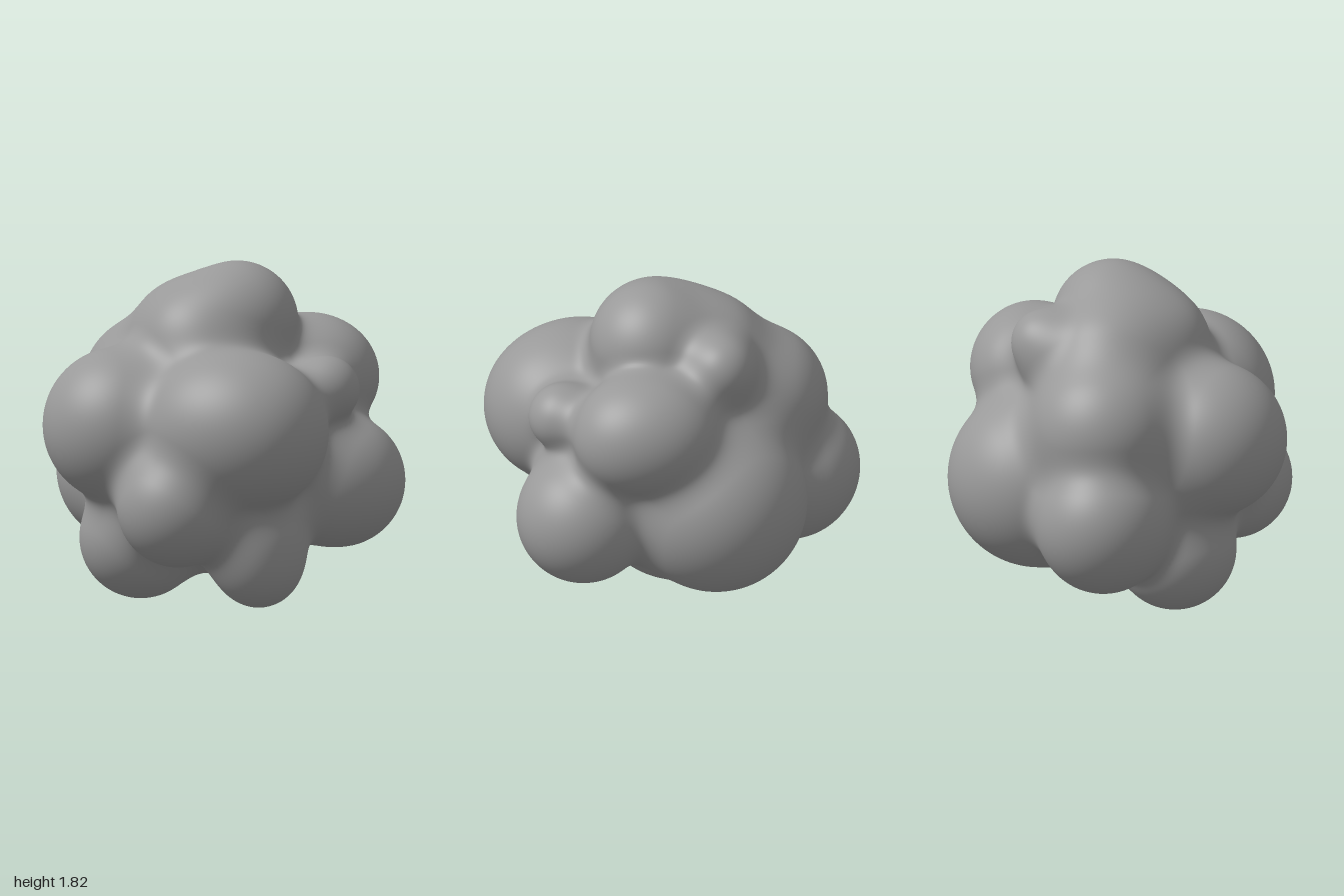
import * as THREE from 'three';
import { mergeVertices } from 'three/addons/utils/BufferGeometryUtils.js';

// Overlapping lobes that melt into one lump: x, y, z, radius
const LOBES = [
  [0, 0.84, 0, 0.67],          // core
  [0.15, 0.45, 0.02, 0.32],    // underside
  [-0.33, 0.99, 0.41, 0.4],    // large front, outer half
  [-0.25, 0.98, 0.57, 0.42],   // large front, inner half
  [0.08, 1.5, 0.13, 0.33],     // crown peak
  [-0.12, 1.39, 0.06, 0.34],   // crown shoulder
  [0.04, 1.35, -0.15, 0.37],   // crown back
  [0.4, 1.48, -0.2, 0.17],     // small knob beside the crown
  [0.31, 1.39, -0.2, 0.18],    // root of the small knob
  [0.54, 1.18, 0.14, 0.31],    // upper left side, back half
  [0.54, 1.18, 0.31, 0.31],    // upper left side, front half
  [0.25, 1.17, 0.64, 0.18],    // small front knob
  [0.43, 0.65, 0.55, 0.36],    // lower front
  [0.27, 0.68, 0.46, 0.32],    // lower front, inner part
  [0.43, 0.69, -0.17, 0.49],   // large left side
  [-0.5, 0.97, -0.17, 0.42],   // upper right side
  [-0.53, 0.58, 0.3, 0.33],    // lower right side
  [-0.12, 0.42, 0.45, 0.29],   // front foot
  [-0.12, 0.24, 0.5, 0.23],    // front foot tip
  [-0.32, 0.34, -0.2, 0.33],   // back foot
  [-0.01, 0.66, -0.67, 0.33],  // lower back
  [-0.01, 0.57, -0.62, 0.33],  // lower back, underside
  [0.02, 1.1, -0.44, 0.39],    // upper back
];
const BLEND = 0.13;

// Distance to the smoothly blended union of all lobes
function distance(p) {
  let d = Infinity;
  for (const [x, y, z, r] of LOBES) {
    const s = Math.hypot(p.x - x, p.y - y, p.z - z) - r;
    const h = Math.max(BLEND - Math.abs(d - s), 0) / BLEND;
    d = Math.min(d, s) - h * h * BLEND * 0.25;
  }
  return d;
}

// Shrink-wrap a fine sphere onto the lobes, marching each vertex inward
function lumpGeometry() {
  const base = new THREE.IcosahedronGeometry(1, 64);
  base.deleteAttribute('normal');
  base.deleteAttribute('uv');
  const geometry = mergeVertices(base, 1e-5);
  const pos = geometry.attributes.position;
  const centre = new THREE.Vector3(0, 0.88, 0);
  const dir = new THREE.Vector3(), p = new THREE.Vector3();
  for (let i = 0; i < pos.count; i++) {
    dir.fromBufferAttribute(pos, i).normalize();
    let t = 1.5;
    for (let step = 0; step < 80; step++) {
      const d = distance(p.copy(centre).addScaledVector(dir, t));
      t -= d * 0.95;
      if (Math.abs(d) < 1e-4) break;
    }
    p.copy(centre).addScaledVector(dir, t);
    pos.setXYZ(i, p.x, p.y, p.z);
  }

  // Settle onto the ground, centred
  geometry.computeBoundingBox();
  const { min, max } = geometry.boundingBox;
  geometry.translate(-(min.x + max.x) / 2, -min.y, -(min.z + max.z) / 2);
  geometry.computeVertexNormals();
  return geometry;
}

export function createModel() {
  const group = new THREE.Group();
  group.name = 'lumpyCluster';
  const lump = new THREE.Mesh(lumpGeometry(), new THREE.MeshStandardMaterial({ color: 0x999999 }));
  lump.name = 'lump';
  group.add(lump);
  return group;
}
